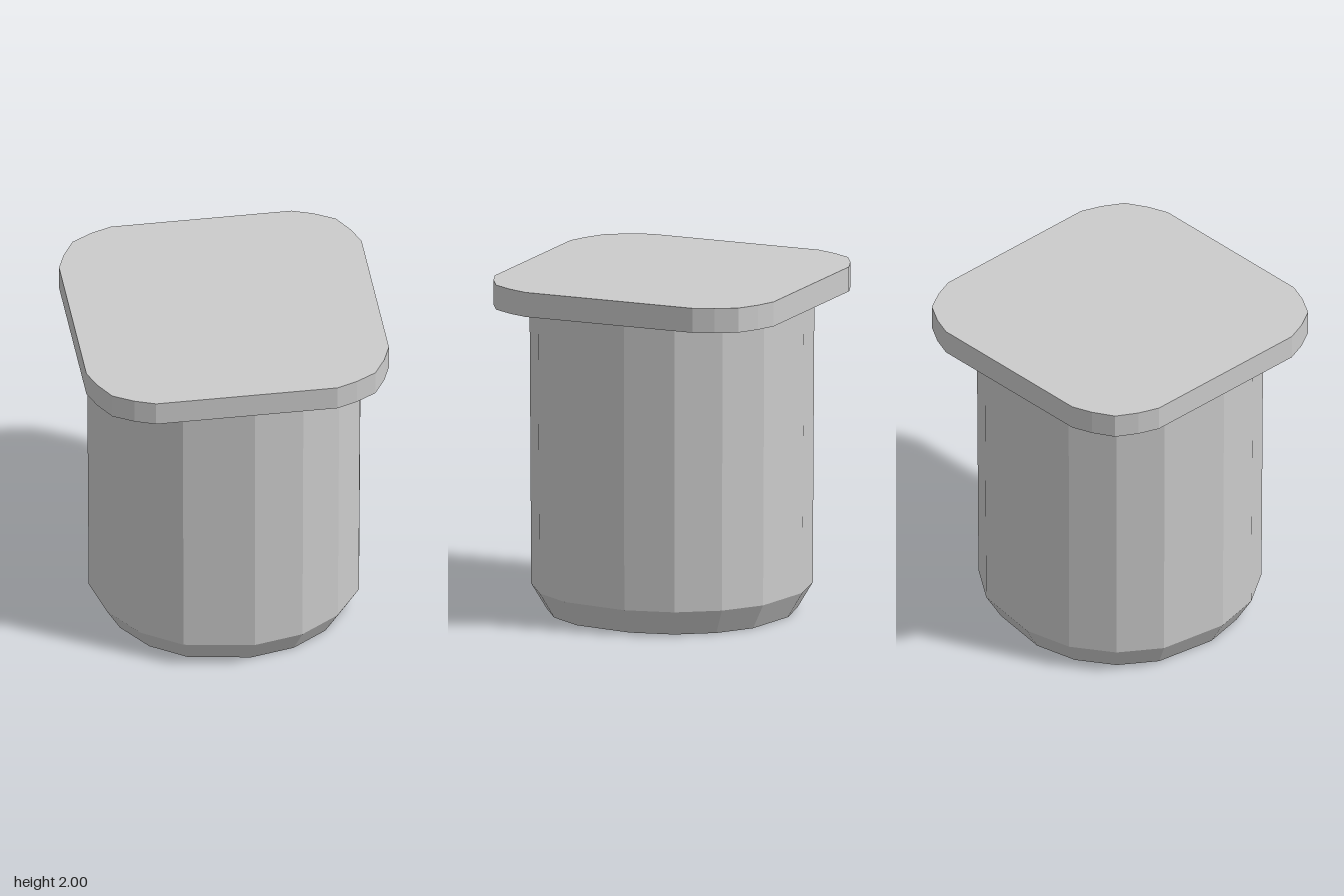
import * as THREE from 'three';

// Repeat one quarter of an outline ([x, z] points) around the y axis.
function fourfold(quarter) {
  const ring = [];
  for (let q = 0; q < 4; q++) {
    for (const [x, z] of quarter) {
      ring.push([[x, z], [z, -x], [-x, -z], [-z, x]][q]);
    }
  }
  return ring;
}

// Stack scaled copies of an outline and close both ends with a fan.
function loft(name, ring, levels, topCentreY) {
  const positions = [];
  const at = ([x, z], { y, scale }) => [x * scale, y, z * scale];
  const triangle = (a, b, c) => positions.push(...a, ...b, ...c);
  const first = levels[0];
  const last = levels[levels.length - 1];

  ring.forEach((p, i) => {
    const q = ring[(i + 1) % ring.length];
    for (let k = 0; k < levels.length - 1; k++) {
      const a = at(p, levels[k]), b = at(q, levels[k]);
      const c = at(q, levels[k + 1]), d = at(p, levels[k + 1]);
      triangle(a, b, c);
      triangle(a, c, d);
    }
    triangle([0, first.y, 0], at(q, first), at(p, first));
    triangle([0, topCentreY, 0], at(p, last), at(q, last));
  });

  const geometry = new THREE.BufferGeometry();
  geometry.setAttribute('position', new THREE.Float32BufferAttribute(positions, 3));
  geometry.computeVertexNormals();
  const material = new THREE.MeshStandardMaterial({ color: 0xcccccc, flatShading: true });
  const mesh = new THREE.Mesh(geometry, material);
  mesh.name = name;
  return mesh;
}

export function createModel() {
  const model = new THREE.Group();
  model.name = 'cappedPlug';

  // Sixteen-sided body, slightly tapered, with a bevelled foot
  const bodyRing = fourfold([[0.06, 0.805], [0.35, 0.74], [0.582, 0.582], [0.74, 0.35]]);
  model.add(loft('body', bodyRing, [
    { y: 0, scale: 0.885 },
    { y: 0.15, scale: 0.995 },
    { y: 1.85, scale: 1.007 },
  ], 1.85));

  // Square lid with rounded corners and a barely raised centre
  const lidRing = fourfold([[-0.53, 0.885], [0.53, 0.885], [0.65, 0.84], [0.77, 0.77], [0.84, 0.65]]);
  model.add(loft('lid', lidRing, [
    { y: 1.85, scale: 1 },
    { y: 1.995, scale: 1 },
  ], 2));

  return model;
}
